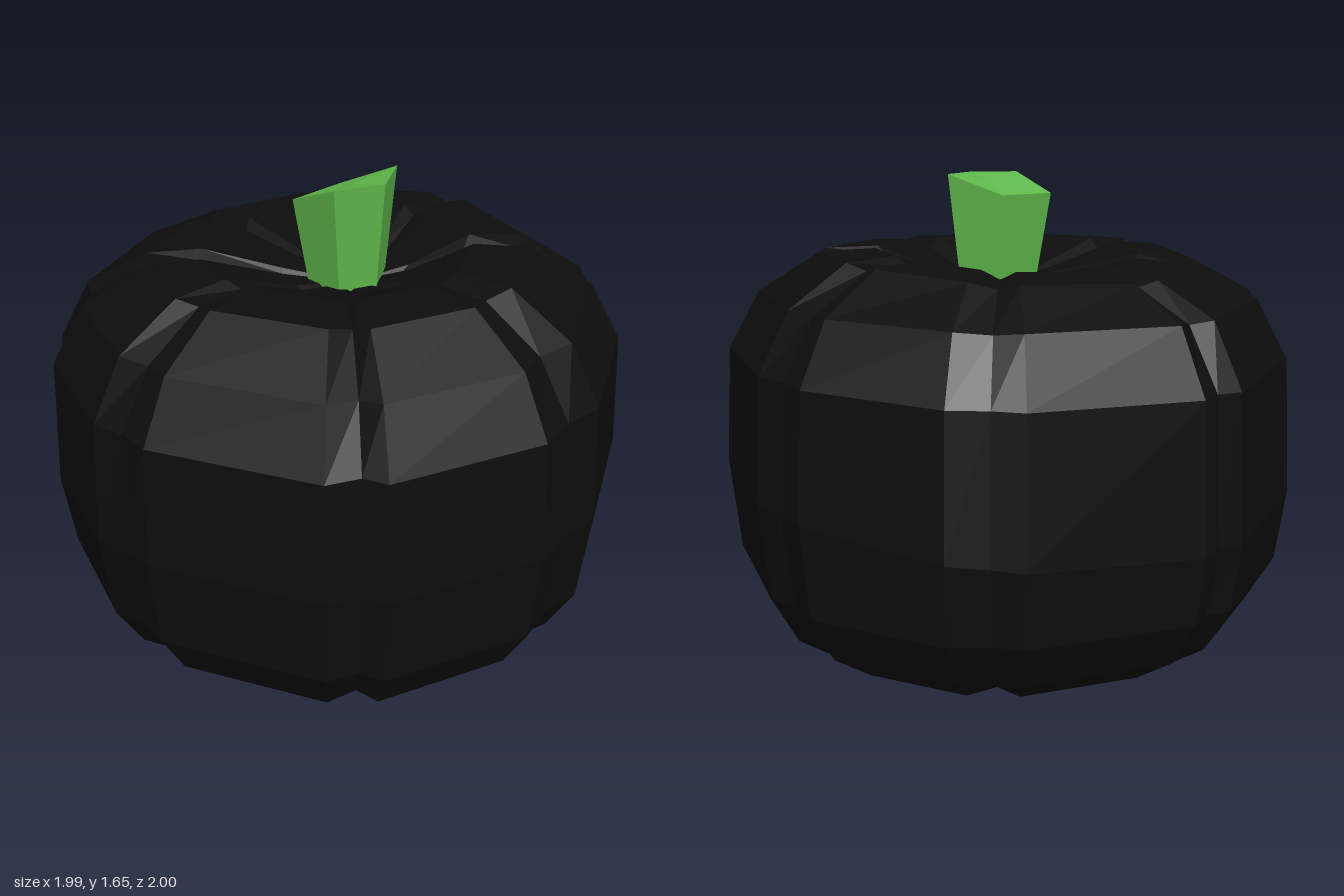
import * as THREE from 'three';

// Skins a stack of closed rings (listed bottom to top, running from +z towards +x) with flat facets
function skin(rings) {
  const pos = [];
  const tri = (a, b, c) => pos.push(...a, ...b, ...c);
  for (let r = 0; r < rings.length - 1; r++) {
    const lo = rings[r], hi = rings[r + 1], n = lo.length;
    for (let i = 0; i < n; i++) {
      const j = (i + 1) % n;
      tri(lo[i], lo[j], hi[j]);
      tri(lo[i], hi[j], hi[i]);
    }
  }
  const g = new THREE.BufferGeometry();
  g.setAttribute('position', new THREE.Float32BufferAttribute(pos, 3));
  g.computeVertexNormals();
  return g;
}

export function createModel() {
  const model = new THREE.Group();
  const black = new THREE.MeshStandardMaterial({ color: 0x0d0d0d, flatShading: true });
  black.name = 'black skin';
  const green = new THREE.MeshStandardMaterial({ color: 0x5fb84b, flatShading: true });
  green.name = 'green stem';

  // Half outline of the eight lobes at the waist; every third point is a groove
  const half = [
    [0, 0.985], [0.15, 1], [0.65, 0.78], [0.68, 0.7], [0.78, 0.64], [0.995, 0.09], [0.985, -0.03],
    [0.995, -0.15], [0.8, -0.61], [0.7, -0.7], [0.63, -0.78], [0.09, -1], [0, -0.98],
  ];
  const outline = [...half, ...half.slice(1, -1).reverse().map(([x, z]) => [-x, z])];

  // Levels: size, height at front, height at back, groove scale, groove lift, z shift
  const levels = [
    [0, 0.12, 0.12, 1, 0, 0],
    [0.17, 0.08, 0.08, 0.9, 0.02, 0],
    [0.38, 0.005, 0.005, 0.97, 0.03, 0],
    [0.71, 0.04, 0.04, 0.97, 0.02, 0],
    [0.87, 0.15, 0.15, 0.98, 0.01, 0],
    [0.965, 0.32, 0.31, 0.99, 0, 0],
    [1, 0.65, 0.54, 1, 0, 0],
    [0.975, 1.06, 1.03, 0.995, 0, 0],
    [0.865, 1.26, 1.24, 0.98, -0.01, 0],
    [0.65, 1.395, 1.345, 0.97, -0.02, 0],
    [0.46, 1.405, 1.365, 0.97, -0.03, 0],
    [0.22, 1.32, 1.32, 0.9, -0.02, 0.04],
    [0, 1.28, 1.28, 1, 0, 0.07],
  ];
  const bodyRings = levels.map(([s, front, back, inset, lift, dz]) =>
    outline.map(([x, z], i) => {
      const groove = i % 3 === 0;
      const k = groove ? s * inset : s;
      const y = front + (back - front) * Math.max(0, -z) + (groove ? lift : 0);
      return [x * k, y, z * k + dz];
    }));
  const body = new THREE.Mesh(skin(bodyRings), black);
  body.name = 'pumpkinBody';
  model.add(body);

  // Five-sided stem, flaring upwards to a slanted cut
  const cut = [[0, 1.66, 0.21], [0.17, 1.66, 0.12], [0.06, 1.59, -0.04], [-0.16, 1.59, -0.05], [-0.16, 1.66, 0.13]];
  const root = cut.map(([x, , z]) => [-0.01 + (x + 0.01) * 0.73, 1.26, 0.09 + (z - 0.09) * 0.73]);
  const tip = cut.map(() => [0, 1.628, 0.07]);
  const stem = new THREE.Mesh(skin([root, cut, tip]), green);
  stem.name = 'stem';
  model.add(stem);

  return model;
}
